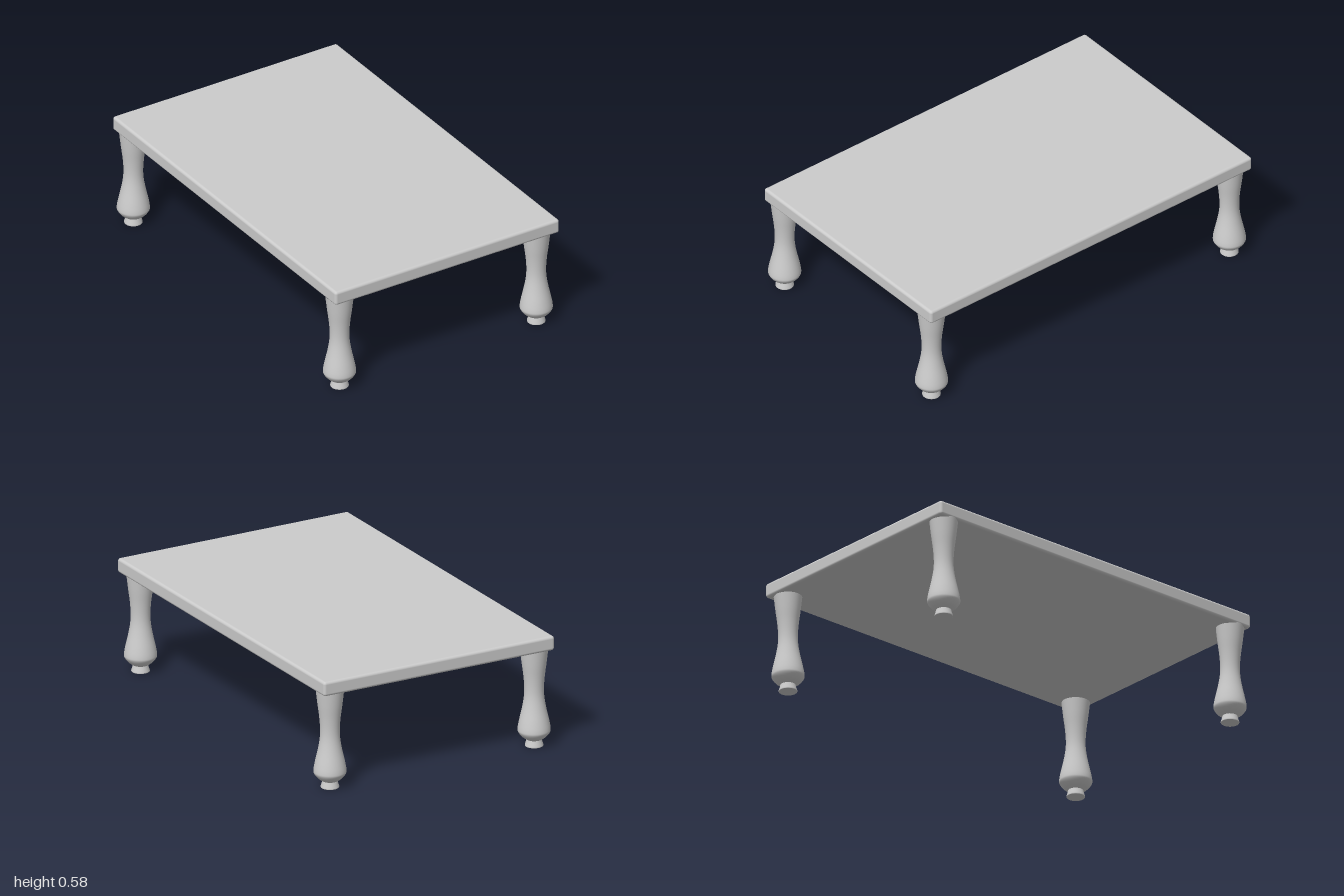
import * as THREE from 'three';
import { RoundedBoxGeometry } from 'three/addons/geometries/RoundedBoxGeometry.js';

const material = new THREE.MeshStandardMaterial({ color: 0xcccccc });
const points = (list) => list.map(([r, y]) => new THREE.Vector2(r, y));

// Turned leg: waisted shaft swelling to a bulb, on a small flared foot
function makeLeg(shaftGeometry, footGeometry) {
  const leg = new THREE.Group();
  const shaft = new THREE.Mesh(shaftGeometry, material);
  shaft.name = 'legShaft';
  const foot = new THREE.Mesh(footGeometry, material);
  foot.name = 'legFoot';
  leg.add(shaft, foot);
  return leg;
}

export function createModel() {
  const table = new THREE.Group();
  table.name = 'lowTable';

  // Slab with softly rounded edges
  const top = new THREE.Mesh(new RoundedBoxGeometry(1.288, 0.074, 1.994, 4, 0.014), material);
  top.name = 'tableTop';
  top.position.set(0.001, 0.539, -0.002);
  table.add(top);

  // Shaft profile, smoothed through a few radii
  const profile = new THREE.SplineCurve(points([
    [0.037, 0.034], [0.06, 0.05], [0.078, 0.073], [0.08, 0.092], [0.073, 0.132],
    [0.059, 0.195], [0.05, 0.25], [0.048, 0.3], [0.052, 0.36], [0.061, 0.43], [0.07, 0.51],
  ]));
  const shaftGeometry = new THREE.LatheGeometry(profile.getPoints(44), 40);

  // Foot is closed underneath, with a crisp lower rim
  const footGeometry = new THREE.LatheGeometry(points([
    [0, 0], [0.044, 0], [0.045, 0.001], [0.045, 0.006], [0.04, 0.022], [0.037, 0.036],
  ]), 40);

  // The legs are very slightly off-square
  const legs = [
    ['frontLeftLeg', 0.557, 0.921],
    ['frontRightLeg', -0.573, 0.921],
    ['backLeftLeg', 0.567, -0.919],
    ['backRightLeg', -0.573, -0.919],
  ];
  for (const [name, x, z] of legs) {
    const leg = makeLeg(shaftGeometry, footGeometry);
    leg.name = name;
    leg.position.set(x, 0, z);
    table.add(leg);
  }
  return table;
}
